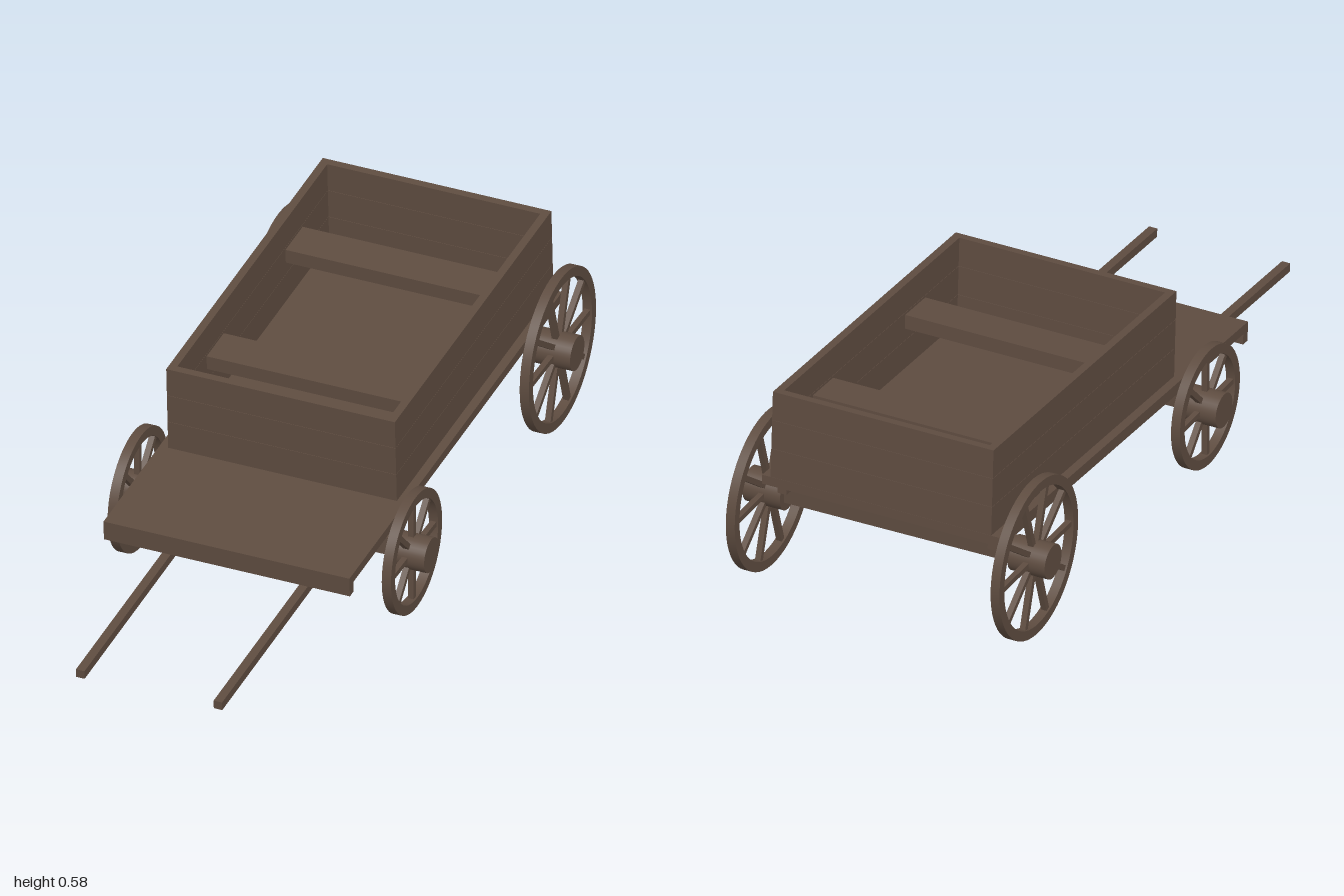
import * as THREE from 'three';
import { toCreasedNormals } from 'three/addons/utils/BufferGeometryUtils.js';

export function createModel() {
  const wood = new THREE.MeshStandardMaterial({ color: 0x5e4c40 });
  wood.name = 'brown wood';
  const model = new THREE.Group();
  model.name = 'wagon';

  const add = (parent, name, geometry, x, y, z) => {
    const mesh = new THREE.Mesh(geometry, wood);
    mesh.name = name;
    mesh.position.set(x, y, z);
    parent.add(mesh);
    return mesh;
  };
  const box = (parent, name, w, h, d, x, y, z) =>
    add(parent, name, new THREE.BoxGeometry(w, h, d), x, y, z);

  // Wagon body: tipped slightly forward, y = 0 is the top of the floor
  const body = new THREE.Group();
  body.name = 'body';
  body.position.set(-0.002, 0.283, 0);
  body.rotation.set(0.053, -0.008, 0);
  model.add(body);

  const front = 0.134, rear = -0.888, mid = (front + rear) / 2, length = front - rear;
  box(body, 'floor', 0.695, 0.026, 1.388, 0, -0.013, -0.194);
  box(body, 'frontLip', 0.695, 0.03, 0.025, 0, -0.041, 0.4875);

  // Three stacked planks on each wall, with hairline joints
  const plank = 0.0835, thick = 0.022;
  for (let i = 0; i < 3; i++) {
    const y = plank * (i + 0.5), h = plank - 0.001;
    for (const s of [-1, 1]) box(body, 'sidePlank', thick, h, length, s * (0.323 - thick / 2), y, mid);
    box(body, 'frontPlank', 0.602, h, thick, 0, y, front - thick / 2);
    box(body, 'rearPlank', 0.602, h, thick, 0, y, rear + thick / 2);
  }

  // Bench seats across the inside
  for (const z of [-0.13, -0.645]) box(body, 'bench', 0.604, 0.04, 0.112, 0, 0.14, z);

  // Long rails under the floor
  for (const s of [-1, 1]) box(body, 'rail', 0.027, 0.037, 1.1, s * 0.308, -0.0445, -0.3);

  // Wheel: rectangular rim, hub and square spokes, spinning about x
  function addWheel(name, side, radius, y, z, spokes) {
    const wheel = new THREE.Group();
    wheel.name = name;
    wheel.position.set(side * 0.386, y, z);
    model.add(wheel);

    const ring = new THREE.Shape().absarc(0, 0, radius, 0, Math.PI * 2);
    const inner = radius - 0.027;
    ring.holes.push(new THREE.Path().absarc(0, 0, inner, 0, Math.PI * 2, true));
    const rim = new THREE.ExtrudeGeometry(ring, { depth: 0.026, bevelEnabled: false, curveSegments: 32 });
    rim.translate(0, 0, -0.013).rotateY(Math.PI / 2);
    add(wheel, 'rim', toCreasedNormals(rim, 0.6), 0, 0, 0);

    const hub = new THREE.CylinderGeometry(0.048, 0.048, 0.109, 32).rotateZ(Math.PI / 2);
    add(wheel, 'hub', hub, 0, 0, 0);

    const from = 0.04, to = inner + 0.006;
    for (let i = 0; i < spokes; i++) {
      const spoke = new THREE.BoxGeometry(0.016, 0.015, to - from);
      spoke.translate(0, 0, (from + to) / 2).rotateX((i / spokes) * Math.PI * 2);
      add(wheel, 'spoke', spoke, 0, 0, 0);
    }
  }
  for (const s of [-1, 1]) {
    addWheel('frontWheel', s, 0.17, 0.172, 0.192, 8);
    addWheel('rearWheel', s, 0.223, 0.226, -0.777, 10);
  }

  // Axle beams between the hubs
  box(model, 'frontAxle', 0.68, 0.052, 0.05, 0, 0.186, 0.192);
  box(model, 'rearAxle', 0.68, 0.055, 0.05, 0, 0.236, -0.777);

  // Pair of pulling shafts sloping down to the front
  for (const x of [-0.2015, 0.186]) {
    const shaft = box(model, 'shaft', 0.024, 0.024, 1.01, x, 0.1465, 0.495);
    shaft.rotation.set(0.055, -0.008, 0);
  }
  return model;
}
